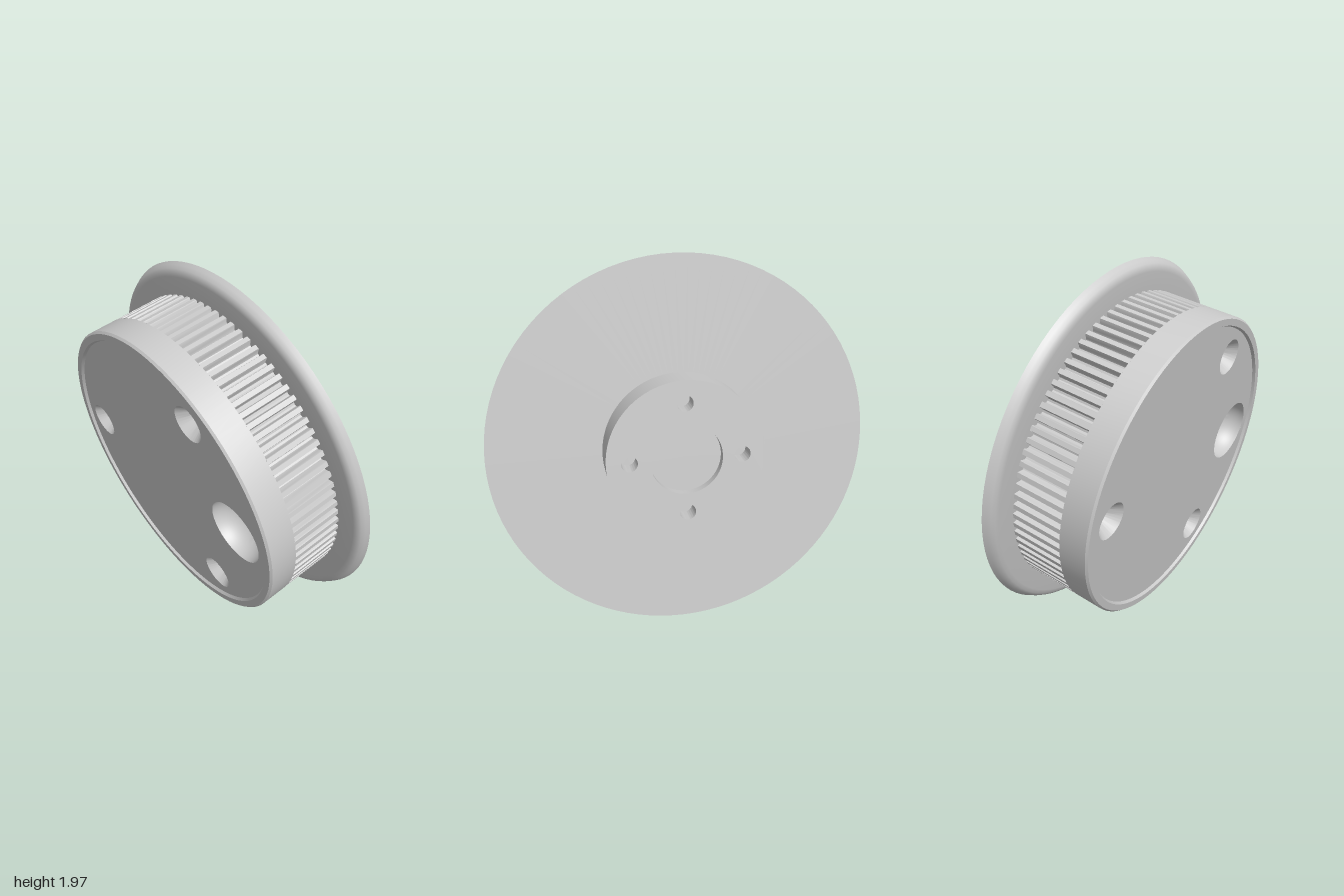
import * as THREE from 'three';
import { toCreasedNormals } from 'three/addons/utils/BufferGeometryUtils.js';

const SEGMENTS = 96;
const TEETH = 90;
const material = new THREE.MeshStandardMaterial({ color: 0xcccccc });

function add(parent, name, geometry) {
  const mesh = new THREE.Mesh(geometry, material);
  mesh.name = name;
  parent.add(mesh);
  return mesh;
}

// Profile of [radius, z] pairs spun about the z axis
function spin(points, segments = SEGMENTS) {
  const lathe = new THREE.LatheGeometry(points.map(([r, z]) => new THREE.Vector2(r, z)), segments);
  return toCreasedNormals(lathe.rotateX(Math.PI / 2), 0.5);
}

// Flat disc facing +z, pierced by [x, y, radius] holes
function piercedDisc(radius, holes) {
  const shape = new THREE.Shape().absarc(0, 0, radius, 0, Math.PI * 2);
  for (const [x, y, r] of holes) {
    shape.holes.push(new THREE.Path().absarc(x, y, r, 0, Math.PI * 2, true));
  }
  return new THREE.ShapeGeometry(shape, SEGMENTS);
}

// Gear outline with slightly rounded groove bottoms
function toothOutline() {
  const pitch = (Math.PI * 2) / TEETH;
  const tooth = [[-0.32, 0.806], [-0.26, 0.815], [-0.25, 0.836], [-0.21, 0.842],
    [0.21, 0.842], [0.25, 0.836], [0.26, 0.815], [0.32, 0.806], [0.5, 0.802]];
  const points = [];
  for (let i = 0; i < TEETH; i++) {
    for (const [t, r] of tooth) {
      const a = Math.PI / 2 + (i + t) * pitch;
      points.push(new THREE.Vector2(r * Math.cos(a), r * Math.sin(a)));
    }
  }
  return new THREE.Shape(points);
}

export function createModel() {
  const model = new THREE.Group();
  const wheel = new THREE.Group();
  wheel.name = 'toothedWheel';
  wheel.rotation.x = THREE.MathUtils.degToRad(9.6);
  wheel.position.set(0, 0.986, -0.19);
  model.add(wheel);

  // Flange with a rounded front edge
  add(wheel, 'flange', spin([[0.408, 0], [1, 0], [0.99, 0.02], [0.978, 0.038],
    [0.962, 0.049], [0.94, 0.052], [0.79, 0.052]]));

  // Ring of teeth between flange and rim
  const teeth = new THREE.ExtrudeGeometry(toothOutline(), { depth: 0.284, bevelEnabled: false });
  add(wheel, 'teeth', toCreasedNormals(teeth.translate(0, 0, 0.052), 0.5));

  // Smooth rim band and raised front lip
  add(wheel, 'rim', spin([[0.79, 0.335], [0.842, 0.335], [0.842, 0.484], [0.832, 0.495],
    [0.796, 0.495], [0.787, 0.48]]));

  // Front plate with three screw holes and a finger dimple
  const front = 0.48;
  const screws = [60, 180, 300].map((deg) => {
    const a = THREE.MathUtils.degToRad(deg);
    return [0.64 * Math.cos(a), 0.64 * Math.sin(a), 0.098];
  });
  const dimple = [0.567, 0, 0.175];
  add(wheel, 'frontPlate', piercedDisc(0.787, [...screws, dimple])).position.z = front;

  const screwProfile = [[0.098, 0], [0.05, -0.065], [0.05, -0.11], [0.042, -0.115],
    [0.042, -0.19], [0, -0.19]];
  for (const [x, y] of screws) {
    add(wheel, 'screwHole', spin(screwProfile)).position.set(x, y, front);
  }

  const bowl = [];
  for (let i = 0; i <= 16; i++) {
    const a = (i / 16) * Math.PI / 2;
    bowl.push([0.175 * Math.cos(a), -0.16 * Math.sin(a)]);
  }
  add(wheel, 'fingerDimple', spin(bowl)).position.set(dimple[0], dimple[1], front);

  // Rear hub, built facing +z and turned to the back
  const hub = new THREE.Group();
  hub.name = 'hub';
  hub.rotation.y = Math.PI;
  wheel.add(hub);
  const hubDepth = 0.175;
  const bolts = [0, 1, 2, 3].map((i) => {
    const a = (i * Math.PI) / 2;
    return [0.29 * Math.cos(a), 0.29 * Math.sin(a), 0.042];
  });
  add(hub, 'hubWall', spin([[0.408, 0], [0.408, hubDepth]]));
  add(hub, 'hubFace', piercedDisc(0.408, [...bolts, [0, 0, 0.187]])).position.z = hubDepth;
  add(hub, 'hubBore', spin([[0.187, 0], [0.187, -0.045], [0, -0.045]])).position.z = hubDepth;
  for (const [x, y, r] of bolts) {
    add(hub, 'boltHole', spin([[r, 0], [r, -0.1], [0, -0.1]])).position.set(x, y, hubDepth);
  }
  return model;
}
